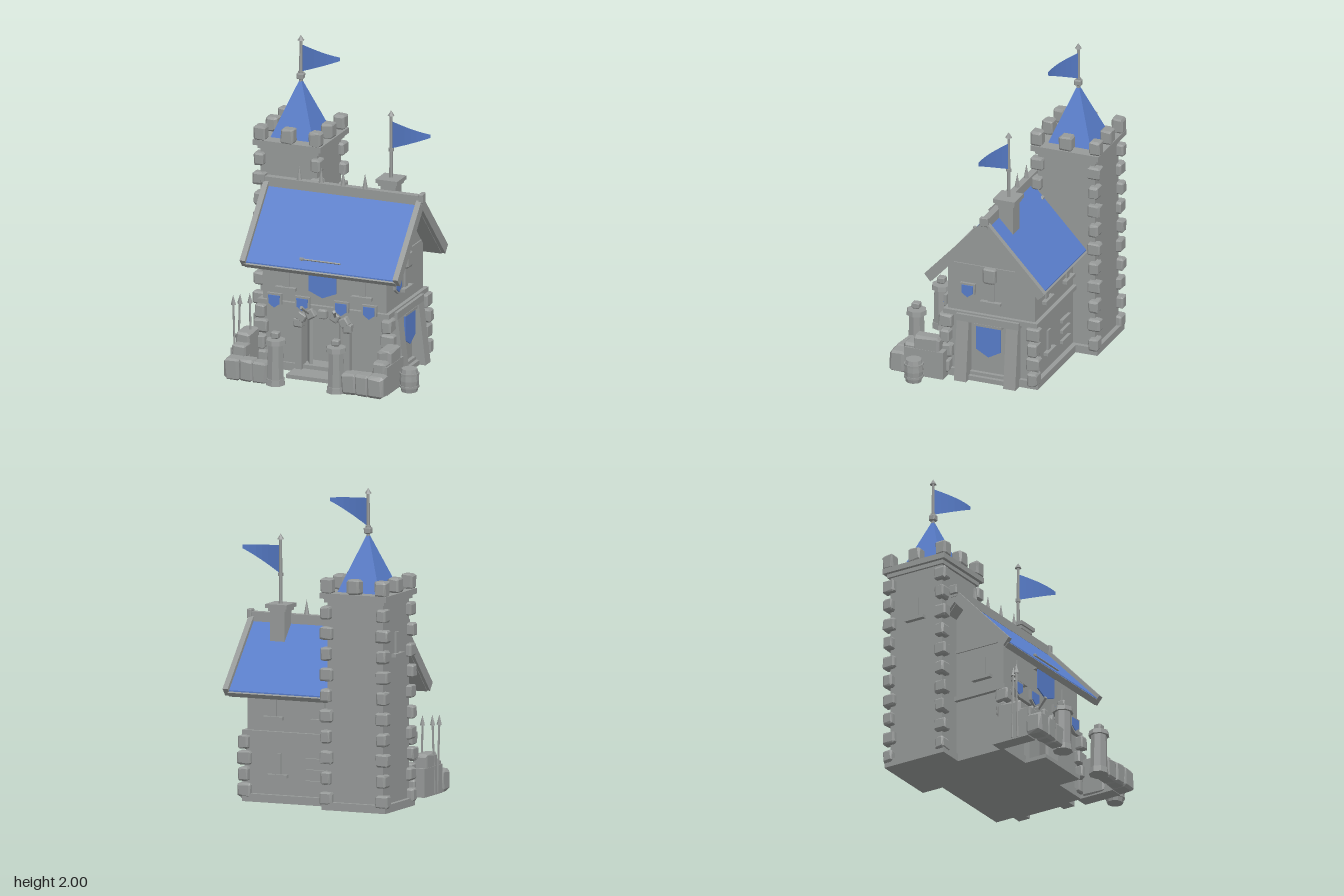
import * as THREE from 'three';
import { ConvexGeometry } from 'three/addons/geometries/ConvexGeometry.js';
import { ParametricGeometry } from 'three/addons/geometries/ParametricGeometry.js';

export function createModel() {
  const model = new THREE.Group();
  const make = (name, color, extra = {}) => {
    const m = new THREE.MeshStandardMaterial({ color, flatShading: true, ...extra });
    m.name = name;
    return m;
  };
  const stone = make('stone grey', 0x979a99);
  const blue = make('cloth blue', 0x587dca, { side: THREE.DoubleSide });

  let seed = 7;
  const rand = () => (seed = (seed * 16807) % 2147483647) / 2147483647;
  const add = (name, geo, x = 0, y = 0, z = 0, mat = stone, parent = model) => {
    const mesh = new THREE.Mesh(geo, mat);
    mesh.name = name;
    mesh.position.set(x, y, z);
    parent.add(mesh);
    return mesh;
  };
  // Box given by its minimum and maximum on each axis
  const box = (name, x0, x1, y0, y1, z0, z1, mat = stone, parent = model) =>
    add(name, new THREE.BoxGeometry(x1 - x0, y1 - y0, z1 - z0),
      (x0 + x1) / 2, (y0 + y1) / 2, (z0 + z1) / 2, mat, parent);
  const cyl = (name, rTop, rBot, h, sides, x, y, z, mat = stone, parent = model) =>
    add(name, new THREE.CylinderGeometry(rTop, rBot, h, sides), x, y + h / 2, z, mat, parent);
  // Rough block with uneven chamfers
  const rock = (name, w, h, d, x, y, z) => {
    const pts = [], half = [w / 2, h / 2, d / 2], c = Math.min(w, h, d) * 0.16;
    for (const sx of [-1, 1]) for (const sy of [-1, 1]) for (const sz of [-1, 1])
      for (let a = 0; a < 3; a++) {
        const p = [sx, sy, sz].map((s, i) => s * (half[i] - (i === a ? 0 : c * (0.5 + rand()))));
        pts.push(new THREE.Vector3(...p));
      }
    return add(name, new ConvexGeometry(pts), x, y, z);
  };
  const shapeOf = pts => new THREE.Shape(pts.map(p => new THREE.Vector2(...p)));
  const extrude = (pts, depth) =>
    new THREE.ExtrudeGeometry(shapeOf(pts), { depth, bevelEnabled: false });

  const CX = -0.035, CZ = -0.09;           // centre of the house
  const X0 = -0.45, X1 = 0.38, Z0 = -0.38, Z1 = 0.2;

  // ---- House walls ----
  box('housePlinth', X0 - 0.025, X1 + 0.025, 0, 0.05, Z0 - 0.03, Z1 + 0.015);
  box('lowerWalls', X0, X1, 0.03, 0.43, Z0, 0.1);
  box('frontWallLeft', 0.11, X1, 0.03, 0.43, 0.1, Z1);
  box('frontWallRight', X0, -0.18, 0.03, 0.43, 0.1, Z1);
  box('doorLintel', -0.18, 0.11, 0.34, 0.43, 0.1, Z1);
  box('floorBand', X0 - 0.025, X1 + 0.025, 0.415, 0.445, Z0 - 0.025, Z1 + 0.025);
  const along = (name, pts, x0, x1, mat = stone) => {
    const g = extrude(pts, x1 - x0);
    g.rotateY(Math.PI / 2);
    return add(name, g, x0, 0, CZ, mat);
  };
  along('upperWalls', [[-0.29, 0.43], [0.29, 0.43], [0.29, 0.73], [0, 1.04], [-0.29, 0.73]], X0, X1);
  box('gableBeam', X0 - 0.008, X1 + 0.008, 0.745, 0.765, CZ - 0.25, CZ + 0.25);

  // ---- Roof ----
  const S = 1.075;
  const chevron = (top, bot, runT, runB) => [
    [-runT, top - S * runT], [-runB, bot - S * runB], [0, bot],
    [runB, bot - S * runB], [runT, top - S * runT], [0, top]];
  along('roofSlab', chevron(1.094, 1.04, 0.385, 0.36), -0.54, 0.475);
  along('roofCovering', chevron(1.102, 1.094, 0.378, 0.378), -0.53, 0.465, blue);
  along('rightBargeboard', chevron(1.135, 1.045, 0.4, 0.36), -0.56, -0.525);
  along('leftBargeboard', chevron(1.135, 1.045, 0.4, 0.36), 0.465, 0.5);
  box('ridgeBeam', -0.565, 0.505, 1.08, 1.14, CZ - 0.022, CZ + 0.022);
  for (const x of [-0.565, 0.495]) rock('ridgeEnd', 0.03, 0.06, 0.055, x, 1.125, CZ);
  for (let i = 0; i < 4; i++) cyl('ridgeSpike', 0, 0.018, 0.1, 6, -0.328 + i * 0.147, 1.135, CZ);
  const arrow = cyl('roofArrow', 0.006, 0.006, 0.26, 5, -0.04, 0.615, 0.25);
  arrow.rotation.z = Math.PI / 2;
  rock('arrowHead', 0.022, 0.018, 0.018, -0.17, 0.745, 0.25);

  // ---- Flags ----
  const flag = (x, y, z, poleBase, poleTop) => {
    cyl('flagPole', 0.009, 0.012, poleTop - poleBase - 0.03, 6, x, poleBase, z);
    cyl('poleTip', 0, 0.022, 0.035, 6, x, poleTop - 0.03, z);
    cyl('poleCollar', 0.017, 0.017, 0.02, 6, x, y - 0.02, z);
    const cloth = new ParametricGeometry((u, v, t) => {
      const lo = 0.125 * u, hi = 0.172 - 0.025 * u;
      t.set(0.01 + 0.287 * u, lo + (hi - lo) * v, 0.08 * Math.sin(u * Math.PI / 2));
    }, 6, 1);
    add('flag', cloth, x, y, z, blue);
  };

  // ---- Chimney ----
  box('chimney', 0.21, 0.31, 0.9, 1.18, -0.205, -0.105);
  box('chimneyCap', 0.187, 0.333, 1.185, 1.21, -0.225, -0.08);
  box('chimneyCollar', 0.2, 0.32, 1.165, 1.187, -0.214, -0.092);
  flag(0.26, 1.4, -0.155, 1.2, 1.64);

  // ---- Tower ----
  const TX = -0.422, TZ = -0.337, H = 0.19;
  const square = (name, h, y0, y1) => box(name, TX - h, TX + h, y0, y1, TZ - h, TZ + h);
  square('towerPlinth', 0.218, 0, 0.05);
  square('towerBody', H, 0.03, 1.32);
  square('towerNeck', 0.205, 1.295, 1.32);
  square('towerPlatform', 0.227, 1.32, 1.355);
  const spire = new THREE.ConeGeometry(0.143 * Math.SQRT2, 0.365, 4);
  spire.rotateY(Math.PI / 4);
  add('spire', spire, TX, 1.355 + 0.1825, TZ, blue);
  rock('spireKnob', 0.045, 0.04, 0.045, TX, 1.73, TZ);
  flag(TX, 1.76, TZ, 1.68, 1.99);
  for (let i = -1; i <= 1; i++) for (let j = -1; j <= 1; j++) {
    if (i || j) rock('merlon', i ? 0.078 : 0.085, 0.095, j ? 0.075 : 0.085,
      TX + i * 0.185, 1.4, TZ + j * 0.195);
  }
  for (const sx of [-1, 1]) for (const sz of [-1, 1]) for (let k = 0; k < 10; k++) {
    const s = k % 2 ? 0.065 : 0.085;
    rock('towerCornerStone', s, 0.08, 0.15 - s, TX + sx * H, 0.07 + k * 0.129, TZ + sz * H);
  }

  // ---- House corner stones ----
  for (const x of [X0 - 0.005, X1 + 0.015]) for (const z of [Z0, Z1 + 0.005])
    for (let k = 0; k < 4; k++) {
      const s = k % 2 ? 0.065 : 0.09;
      rock('houseCornerStone', s, 0.085, 0.155 - s, x, 0.07 + k * 0.1, z);
    }

  // ---- Wall fittings: built facing +z, then turned to their wall ----
  const place = (name, x, y, z, turn) => {
    const g = new THREE.Group();
    g.name = name;
    g.position.set(x, y, z);
    g.rotation.y = turn;
    model.add(g);
    return g;
  };
  const slit = (x, y, z, turn = 0) => {
    const g = place('slitWindow', x, y, z, turn);
    box('slit', -0.02, 0.02, 0, 0.14, -0.01, 0.012, stone, g);
    box('sill', -0.068, 0.068, -0.012, 0.008, -0.01, 0.03, stone, g);
  };
  const shield = (x, y, z, turn = 0) => {
    const g = place('shield', x, y, z, turn);
    const outline = k => [[-0.05, 0.05], [-0.048, -0.02], [0, -0.055], [0.048, -0.02], [0.05, 0.05]]
      .map(p => [p[0] * k, p[1] * k]);
    add('shieldRim', extrude(outline(1), 0.018), 0, 0, 0, stone, g);
    add('shieldFace', extrude(outline(0.76), 0.006), 0, 0, 0.017, blue, g);
  };
  const banner = (x, y, z, w, h, turn = 0) => {
    const g = place('banner', x, y, z, turn);
    add('bannerCloth', extrude([[-w / 2, 0], [-w / 2, -h * 0.78], [0, -h], [w / 2, -h * 0.78], [w / 2, 0]],
      0.008), 0, 0, 0, blue, g);
    box('bannerRod', -w / 2 - 0.01, w / 2 + 0.01, -0.006, 0.01, -0.02, 0.016, stone, g);
  };
  const R = Math.PI / 2;
  for (const s of [-1, 1]) {
    slit(CX + s * 0.255, 0.53, Z1);
    shield(CX + s * 0.13, 0.45, 0.232);
    shield(CX + s * 0.318, 0.45, 0.232);
  }
  banner(-0.033, 0.68, 0.235, 0.185, 0.175);
  slit(X1, 0.53, CZ, R);
  slit(X0, 0.53, 0.05, -R);
  rock('gableStone', 0.06, 0.1, 0.085, X1 + 0.01, 0.715, -0.085);
  shield(X1 + 0.005, 0.59, 0.062, R);
  slit(0.2, 0.53, Z0, Math.PI);
  slit(-0.13, 0.53, Z0, Math.PI);
  slit(0.17, 0.17, Z0, Math.PI);
  slit(TX - H, 0.97, TZ, -R);
  for (let i = 0; i < 3; i++) box('backPlank', -0.15, -0.02, 0.13 + i * 0.07, 0.15 + i * 0.07, Z0 - 0.02, Z0);

  // ---- Side frame with sloping buttresses ----
  banner(X1 + 0.032, 0.38, -0.085, 0.165, 0.21, R);
  box('sideBeam', X1, X1 + 0.045, 0.39, 0.435, -0.29, 0.13);
  box('sideStep', X1, X1 + 0.05, 0, 0.03, -0.28, 0.12);
  for (const z of [0.045, -0.285]) {
    const g = extrude([[0, 0], [0.09, 0], [0.04, 0.43], [0, 0.43]], 0.08);
    add('buttress', g, X1, 0, z);
  }

  // ---- Entrance ----
  box('doorStep', -0.225, 0.16, 0, 0.025, Z1, 0.365);
  for (const s of [-1, 1]) {
    box('doorJamb', CX + s * 0.16 - 0.022, CX + s * 0.16 + 0.022, 0, 0.33, 0.17, 0.24);
    const leaf = box('doorLeaf', -0.045, 0.045, 0, 0.31, -0.01, 0.01);
    leaf.position.set(CX + s * 0.12, 0.18, 0.15);
    leaf.rotation.y = s * 1.0;
    const bracket = cyl('torch', 0.012, 0.008, 0.09, 5, CX + s * 0.1, 0.38, 0.28);
    bracket.rotation.set(0.9, 0, -s * 0.25);
  }
  for (let i = 0; i < 7; i++) {
    const a = Math.PI * i / 6;
    rock('archStone', 0.058, 0.06, 0.05, CX - Math.cos(a) * 0.165, 0.325 + Math.sin(a) * 0.075, 0.225)
      .rotation.z = Math.PI / 2 - a;
  }

  // ---- Courtyard walls and gate pillars ----
  for (const s of [-1, 1]) {
    const px = CX + s * 0.203;
    cyl('gatePillar', 0.05, 0.055, 0.27, 8, px, 0, 0.5);
    cyl('pillarFoot', 0.058, 0.063, 0.04, 8, px, 0, 0.5);
    cyl('pillarCap', 0.062, 0.066, 0.03, 8, px, 0.262, 0.5);
    rock('pillarStone', 0.05, 0.04, 0.05, px, 0.32, 0.5);
    rock('frontWallStone', 0.1, 0.135, 0.09, CX + s * 0.3, 0.07, 0.495);
    rock('frontWallStone', 0.1, 0.14, 0.1, CX + s * 0.39, 0.072, 0.495);
    rock('cornerWallStone', 0.11, 0.14, 0.11, CX + s * 0.48, 0.072, 0.495);
    rock('upperWallStone', 0.09, 0.08, 0.1, CX + s * 0.47, 0.165, 0.41);
    box('courtyardWall', CX + s * 0.48 - 0.045, CX + s * 0.48 + 0.045, 0, 0.18, 0.19, 0.45);
    rock('sideWallStone', 0.095, 0.26, 0.17, CX + s * 0.475, 0.135, 0.305);
  }

  // ---- Spears and barrel ----
  for (const [x, z, lean] of [[-0.56, 0.375, 0.03], [-0.56, 0.335, -0.03], [-0.485, 0.3, 0.02]]) {
    const g = place('spear', x, 0, z, 0);
    g.rotation.z = lean;
    cyl('spearShaft', 0.007, 0.007, 0.44, 5, 0, 0.01, 0, stone, g);
    cyl('spearHead', 0, 0.018, 0.065, 4, 0, 0.435, 0, stone, g);
  }
  const stave = [[0, 0.012], [0.05, 0.012], [0.058, 0.05], [0.061, 0.085], [0.058, 0.12], [0.05, 0.16], [0, 0.16]];
  add('barrel', new THREE.LatheGeometry(stave.map(p => new THREE.Vector2(...p)), 10), 0.593, 0, 0.342);
  for (const y of [0.04, 0.12]) cyl('barrelHoop', 0.062, 0.062, 0.014, 10, 0.593, y, 0.342);

  return model;
}
